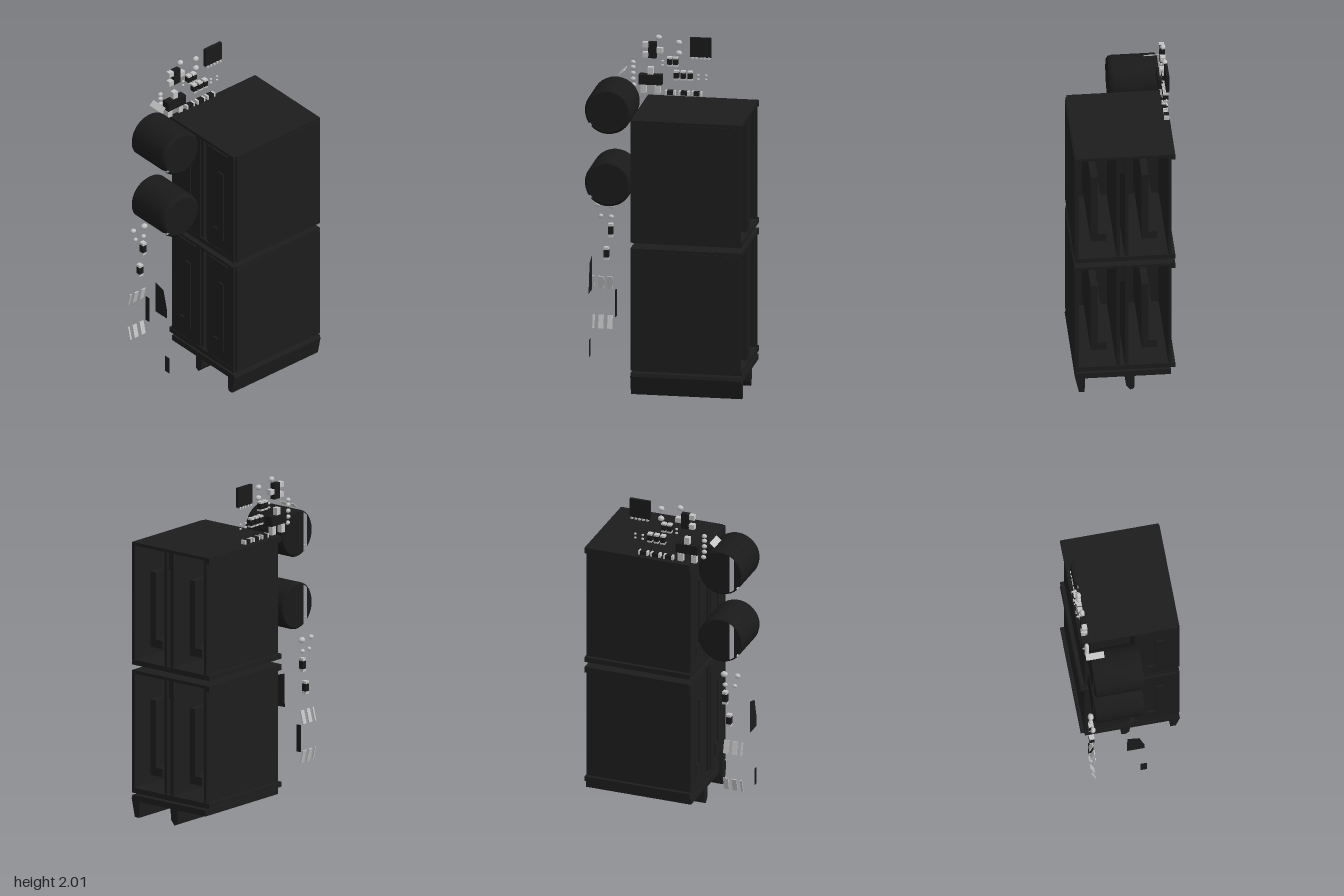
import * as THREE from 'three';

export function createModel() {
  const model = new THREE.Group();
  const mat = (name, color) => Object.assign(new THREE.MeshStandardMaterial({ color }), { name });
  const black = mat('housing black', 0x1d1d1d);
  const dark = mat('component black', 0x1a1a1a);
  const silver = mat('solder silver', 0xc4c4c4);
  const open = mat('thin plate black', 0x1c1c1c);
  open.side = THREE.DoubleSide;

  const add = (name, geo, material, parent = model) => {
    const m = new THREE.Mesh(geo, material);
    m.name = name;
    parent.add(m);
    return m;
  };
  // Box given by its limits on each axis
  const box = (name, x0, x1, y0, y1, z0, z1, material = black, parent = model) => {
    const m = add(name, new THREE.BoxGeometry(x1 - x0, y1 - y0, z1 - z0), material, parent);
    m.position.set((x0 + x1) / 2, (y0 + y1) / 2, (z0 + z1) / 2);
    return m;
  };

  // Two stacked housings, each with two bays open at the back
  for (const y of [0.143, 0.908]) {
    const h = 0.732, housing = new THREE.Group();
    housing.name = 'housing';
    housing.position.y = y;
    model.add(housing);
    const part = (name, ...a) => box(name, ...a, black, housing);
    part('topPlate', -0.29, 0.28, h - 0.018, h, -0.485, 0.165);
    part('bottomPlate', -0.29, 0.28, 0, 0.03, -0.485, 0.165);
    part('topEdge', 0.28, 0.288, h - 0.02, h, -0.485, 0.145);
    part('bottomEdge', 0.28, 0.288, 0, 0.02, -0.485, 0.145);
    part('rightRim', -0.29, -0.265, h - 0.035, h - 0.018, -0.485, 0.165);
    part('leftWall', 0.27, 0.292, 0.02, h - 0.018, -0.48, 0.147);
    part('leftWallFront', 0.27, 0.28, 0.02, h - 0.018, 0.147, 0.165);
    part('rightWall', -0.268, -0.25, 0.02, h - 0.018, -0.48, 0.162);
    part('innerWall', -0.018, 0.002, 0.03, h - 0.018, -0.48, 0.155);
    part('innerWall', 0.03, 0.05, 0.03, h - 0.018, -0.48, 0.155);
    part('centreBridge', 0.002, 0.03, h - 0.13, h - 0.018, -0.46, -0.4);
    for (const [x0, x1, c] of [[-0.25, -0.018, -0.145], [0.05, 0.27, 0.15]]) {
      part('frontPanel', x0, x1, 0.03, h - 0.03, 0.14, 0.162);
      part('frontPanelCorner', x1 - 0.04, x1, h - 0.03, h - 0.018, 0.14, 0.162);
      // Hooked pad on the front panel
      part('padStem', c, c + 0.045, 0.11, 0.57, 0.162, 0.171);
      part('padFoot', c - 0.045, c, 0.11, 0.17, 0.162, 0.171);
      // Contact tongue and its foot inside the bay
      part('tongue', c + 0.005, c + 0.045, 0.11, 0.56, -0.43, 0.14);
      part('tongueFoot', c - 0.045, c + 0.005, 0.11, 0.16, -0.43, 0.14);
    }
  }

  // Base tray with tapered runners
  box('baseTray', -0.265, 0.28, 0.095, 0.13, -0.485, 0.165);
  const runner = (pts) => {
    const shape = new THREE.Shape(pts.map(p => new THREE.Vector2(...p)));
    const geo = new THREE.ExtrudeGeometry(shape, { depth: 0.65, bevelEnabled: false });
    add('runner', geo, black).position.z = -0.485;
  };
  runner([[0.235, 0.0], [0.268, 0.0], [0.292, 0.11], [0.285, 0.13], [0.232, 0.13]]);
  runner([[-0.03, 0.0], [-0.005, 0.03], [0.002, 0.13], [-0.055, 0.13], [-0.052, 0.01]]);

  // Cylinder capacitors lying on their side, with a slit low on the front
  const profile = [[0.128, -0.26], [0.138, -0.25], [0.138, 0.0], [0.133, 0.02], [0.12, 0.03]]
    .map(p => new THREE.Vector2(...p));
  // Base disc in two pieces, parted by an upright slot
  const segment = (from, to) => new THREE.ShapeGeometry(
    new THREE.Shape().absarc(0, 0, 0.128, from, to, false), 40);
  for (const y of [1.18, 1.612]) {
    const cap = new THREE.Group();
    cap.name = 'capacitor';
    cap.position.set(0, y, 0.345);
    model.add(cap);
    const can = add('can', new THREE.LatheGeometry(profile, 48, 0.74, Math.PI * 2 - 0.16), dark, cap);
    can.rotation.z = -Math.PI / 2;
    const end = add('canEnd', new THREE.CircleGeometry(0.121, 48), dark, cap);
    end.rotation.y = Math.PI / 2;
    end.position.x = 0.03;
    for (const geo of [segment(1.126, Math.PI * 2 - 1.126), segment(-0.845, 0.845)]) {
      const base = add('canBase', geo, dark, cap);
      base.rotation.y = -Math.PI / 2;
      base.position.x = -0.26;
    }
    box('canStrip', -0.25, -0.02, -0.094, -0.088, 0.092, 0.099, silver, cap);
  }

  // Small board parts: [z, y] centres, sizes along z and y
  const chip = (name, z, y, w, h, material, x0 = -0.285, x1 = -0.255) =>
    box(name, x0, x1, y - h / 2, y + h / 2, z - w / 2, z + w / 2, material);
  const resistor = (z, y, upright, s = 0.06) => {
    const along = (d) => upright ? [z, y + d] : [z + d, y];
    const size = (l) => upright ? [0.028, l] : [l, 0.024];
    chip('resistorBody', ...along(0), ...size(s * 0.6), dark);
    for (const d of [-1, 1]) chip('resistorEnd', ...along(d * s * 0.4), ...size(s * 0.2), silver);
  };
  for (const [z, y] of [[0.035, 1.85], [0, 1.85], [-0.005, 1.77], [-0.045, 1.77], [-0.085, 1.77]])
    resistor(z, y, true, 0.055);
  for (const z of [0.03, -0.05, -0.125]) resistor(z, 1.665, false);
  resistor(0.38, 0.825, true, 0.08);
  resistor(0.405, 0.685, true, 0.075);

  // Integrated circuit and transistors with their leads
  chip('circuitChip', -0.147, 1.942, 0.125, 0.116, dark, -0.28, -0.262);
  for (let i = 0; i < 5; i++) chip('circuitLead', -0.1 - i * 0.024, 1.879, 0.012, 0.012, silver);
  chip('transistorLarge', 0.145, 1.74, 0.135, 0.058, dark, -0.29, -0.242);
  chip('transistorSmall', 0.135, 1.915, 0.048, 0.095, dark);
  for (const [z, y, w, h] of [[0.146, 1.79, 0.032, 0.045], [0.188, 1.682, 0.032, 0.05],
    [0.106, 1.682, 0.032, 0.05], [0.175, 1.945, 0.035, 0.03], [0.175, 1.885, 0.035, 0.03],
    [0.092, 1.915, 0.035, 0.03]]) chip('transistorLead', z, y, w, h, silver);

  // Solder beads
  const beads = [[-0.018, 1.965, 0.02], [-0.018, 1.902, 0.02], [0.1, 1.99, 0.02], [0.25, 1.835, 0.016],
    [0.25, 1.805, 0.016], [0.25, 1.77, 0.016], [0.25, 1.735, 0.016], [0.245, 1.7, 0.016],
    [0.078, 1.85, 0.009], [0.078, 1.825, 0.009], [-0.132, 1.775, 0.009], [-0.132, 1.75, 0.009],
    [-0.178, 1.775, 0.008], [-0.178, 1.75, 0.008], [0.455, 0.975, 0.018], [0.373, 0.972, 0.022],
    [0.438, 0.908, 0.014], [0.378, 0.905, 0.016]];
  for (const [z, y, r] of beads) {
    const bead = add('solderBead', new THREE.SphereGeometry(r, 10, 6), silver);
    bead.position.set(-0.27, y, z);
    bead.scale.set(0.8, 0.8, 1);
  }

  // Long tilted lead above the upper capacitor
  box('longLead', -0.285, -0.178, 1.79, 1.794, 0.283, 0.323, silver).rotation.x = 0.7;

  // Lower circuit: leads above and below a thin side plate
  for (const y of [0.51, 0.275])
    for (const [z, w] of [[0.481, 0.012], [0.438, 0.03], [0.385, 0.03]]) {
      const lead = chip('lowerLead', z, y, w, 0.08, silver, -0.274, -0.268);
      lead.rotation.z = y > 0.4 ? -0.25 : 0.25;
    }
  box('lowerChipSide', -0.282, -0.25, 0.31, 0.47, 0.347, 0.353, dark);

  // Thin plates standing in front
  const plate = (name, pts, z) => {
    const shape = new THREE.Shape(pts.map(p => new THREE.Vector2(...p)));
    add(name, new THREE.ShapeGeometry(shape), open).position.z = z;
  };
  plate('wedgePlate', [[-0.073, 0.52], [0.032, 0.52], [0.03, 0.58], [0.0, 0.7], [-0.07, 0.72]], 0.455);
  plate('smallPlate', [[0.008, 0.145], [0.045, 0.145], [0.045, 0.25], [0.008, 0.25]], 0.45);

  return model;
}
